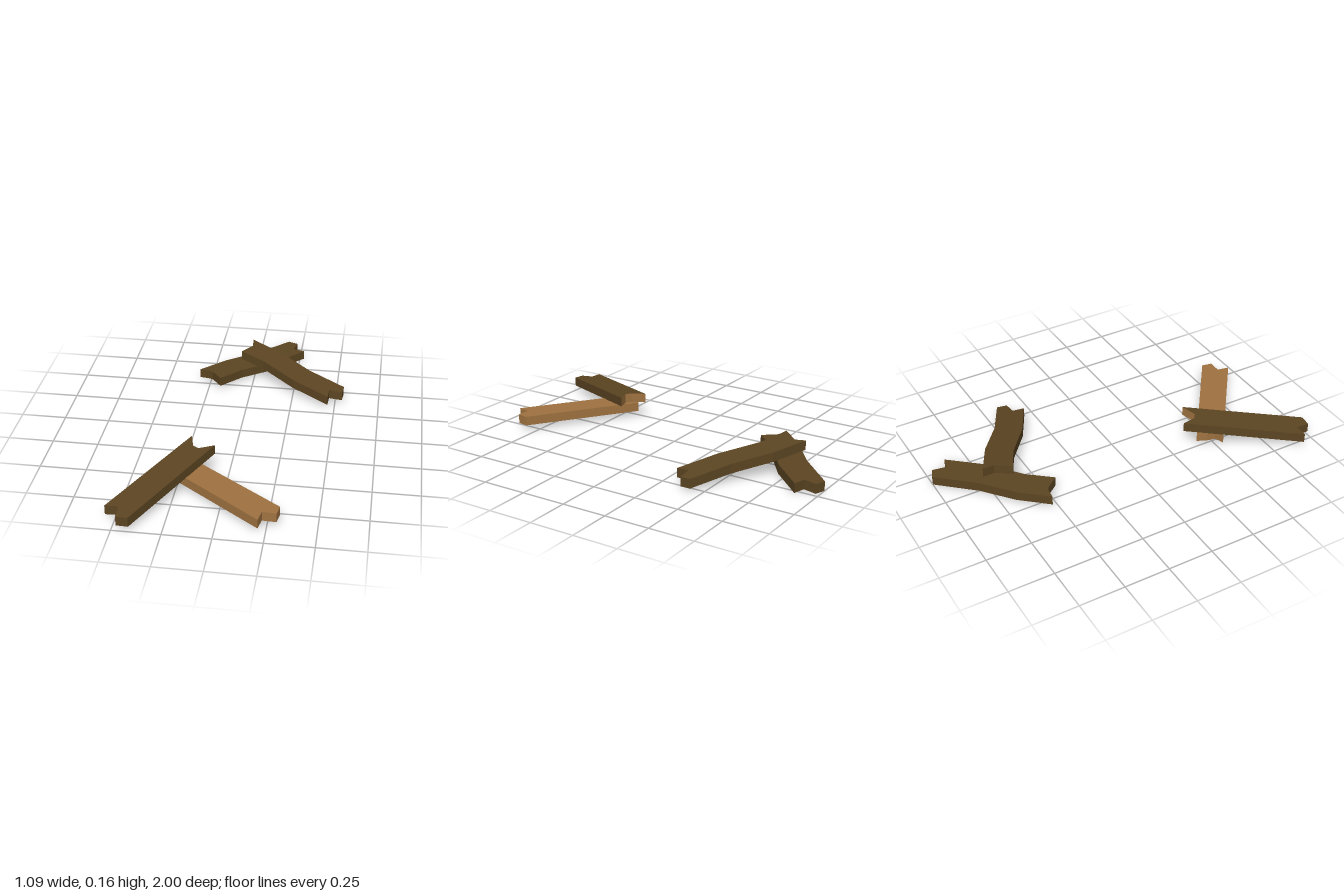
import * as THREE from 'three';

const darkWood = new THREE.MeshStandardMaterial({ color: 0x5c4522 });
darkWood.name = 'darkWood';
const lightWood = new THREE.MeshStandardMaterial({ color: 0xa07341 });
lightWood.name = 'lightWood';

const THICKNESS = 0.052;

// Plank from a plan outline of [x, z] corners; its underside rises or falls
// evenly from height y0 at point a to height y1 at point b.
// Faces of the end at a get the endMaterial.
function plank(name, outline, a, b, y0, y1, material, endMaterial = material) {
  const shape = new THREE.Shape(outline.map(([x, z]) => new THREE.Vector2(x, -z)));
  const geo = new THREE.ExtrudeGeometry(shape, { depth: THICKNESS, bevelEnabled: false });
  geo.rotateX(-Math.PI / 2);

  const dx = b[0] - a[0], dz = b[1] - a[1], len2 = dx * dx + dz * dz;
  const pos = geo.attributes.position;
  const along = [];
  for (let i = 0; i < pos.count; i++) {
    const t = ((pos.getX(i) - a[0]) * dx + (pos.getZ(i) - a[1]) * dz) / len2;
    along.push(t);
    pos.setY(i, pos.getY(i) + y0 + (y1 - y0) * t);
  }
  geo.computeVertexNormals();

  // Sort the side triangles into end grain and long edges
  const sides = geo.groups[1];
  const caps = geo.groups[0];
  geo.clearGroups();
  geo.addGroup(caps.start, caps.count, 0);
  for (let i = sides.start; i < sides.start + sides.count; i += 3) {
    const isEnd = Math.max(along[i], along[i + 1], along[i + 2]) < 0.2;
    geo.addGroup(i, 3, isEnd ? 1 : 0);
  }

  const mesh = new THREE.Mesh(geo, endMaterial === material ? material : [material, endMaterial]);
  mesh.name = name;
  return mesh;
}

export function createModel() {
  const model = new THREE.Group();
  model.name = 'scatteredPlanks';

  // Front pair: a straight dark plank leaning over a flat light one
  model.add(plank('frontLeaningPlank', [
    [-0.21, 0.335], [-0.19, 0.42], [-0.16, 0.44], [-0.077, 0.412],
    [-0.412, 1.0], [-0.475, 0.993], [-0.475, 0.917], [-0.547, 0.915],
  ], [-0.145, 0.375], [-0.48, 0.955], 0.105, 0.032, darkWood, lightWood));

  model.add(plank('frontFlatPlank', [
    [0.308, 0.803], [0.298, 0.862], [0.225, 0.858], [0.212, 0.925],
    [-0.325, 0.525], [-0.275, 0.505], [-0.265, 0.455], [-0.24, 0.405],
  ], [0.26, 0.864], [-0.28, 0.465], 0.03, 0.03, lightWood));

  // Back pair: a crooked dark plank resting on another
  model.add(plank('backLowerPlank', [
    [-0.314, -0.532], [-0.18, -0.677], [-0.01, -0.81], [0.17, -1.0],
    [0.225, -0.978], [0.21, -0.905], [0.275, -0.885], [0.115, -0.71],
    [-0.07, -0.57], [-0.18, -0.445], [-0.235, -0.515], [-0.255, -0.525],
  ], [-0.25, -0.49], [0.22, -0.94], 0.022, 0.002, darkWood));

  model.add(plank('backUpperPlank', [
    [-0.03, -0.79], [0.15, -0.695], [0.333, -0.555], [0.545, -0.442],
    [0.539, -0.383], [0.465, -0.383], [0.46, -0.313], [0.25, -0.425],
    [0.06, -0.57], [-0.078, -0.64], [-0.022, -0.722],
  ], [-0.055, -0.715], [0.505, -0.375], 0.108, 0.02, darkWood));

  return model;
}
